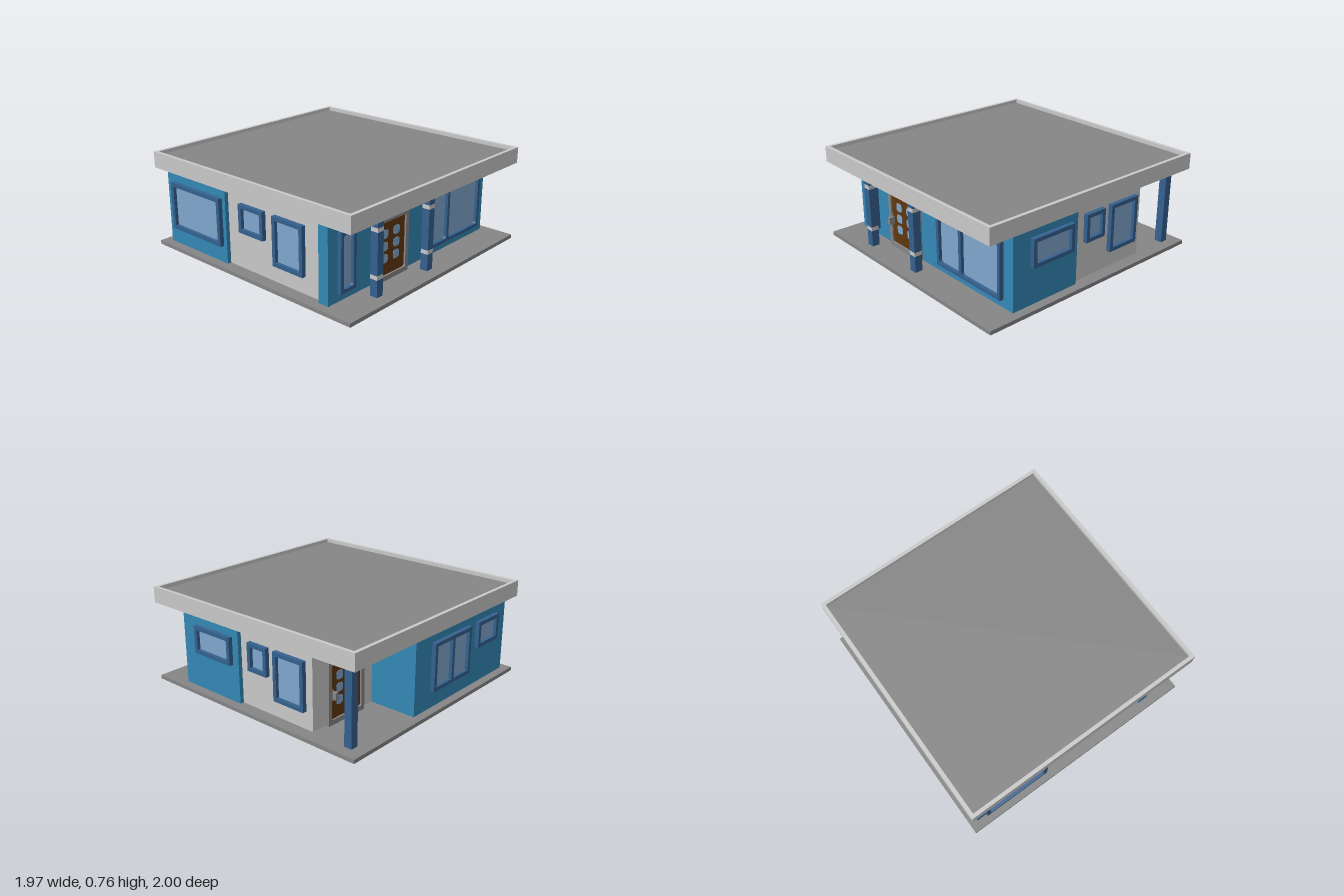
import * as THREE from 'three';

const mat = (name, color) => {
  const m = new THREE.MeshStandardMaterial({ color });
  m.name = name;
  return m;
};

// Rectangle path with optional chamfered-round corners
function rect(path, x0, y0, x1, y1, r = 0) {
  if (!r) {
    path.moveTo(x0, y0).lineTo(x1, y0).lineTo(x1, y1).lineTo(x0, y1);
  } else {
    path.moveTo(x0 + r, y0).lineTo(x1 - r, y0);
    path.quadraticCurveTo(x1, y0, x1, y0 + r).lineTo(x1, y1 - r);
    path.quadraticCurveTo(x1, y1, x1 - r, y1).lineTo(x0 + r, y1);
    path.quadraticCurveTo(x0, y1, x0, y1 - r).lineTo(x0, y0 + r);
    path.quadraticCurveTo(x0, y0, x0 + r, y0);
  }
  path.closePath();
  return path;
}

// Plate of given outline with rectangular holes [x0, y0, x1, y1]
function panel(outline, holes, depth, r = 0) {
  const shape = rect(new THREE.Shape(), ...outline);
  for (const h of holes) shape.holes.push(rect(new THREE.Path(), ...h, r));
  return new THREE.ExtrudeGeometry(shape, { depth, bevelEnabled: false, curveSegments: 3 });
}

export function createModel() {
  const house = new THREE.Group();
  house.name = 'house';
  const blue = mat('wall blue', 0x3488b6);
  const trim = mat('trim blue', 0x35618f);
  const light = mat('light grey', 0xc9c9c9);
  const grey = mat('mid grey', 0x868686);
  const glass = mat('glass blue', 0x80a6cd);
  const brown = mat('door brown', 0x5f360e);

  const add = (parent, name, geo, m) => {
    const mesh = new THREE.Mesh(geo, m);
    mesh.name = name;
    parent.add(mesh);
    return mesh;
  };
  const box = (parent, name, m, x0, x1, y0, y1, z0, z1) => {
    const b = add(parent, name, new THREE.BoxGeometry(x1 - x0, y1 - y0, z1 - z0), m);
    b.position.set((x0 + x1) / 2, (y0 + y1) / 2, (z0 + z1) / 2);
    return b;
  };

  // Ground slab and roof
  box(house, 'baseSlab', grey, -0.985, 0.985, 0, 0.03, -1, 1);
  box(house, 'roofDeck', grey, -0.96, 0.96, 0.65, 0.735, -0.975, 0.975);
  const rim = add(house, 'roofRim',
    panel([-0.985, -1, 0.985, 1], [[-0.957, -0.972, 0.957, 0.972]], 0.127), light);
  rim.rotation.x = -Math.PI / 2;
  rim.position.y = 0.638;

  // Walls: grey core with blue blocks standing slightly proud of it
  box(house, 'coreWalls', light, -0.885, 0.885, 0.03, 0.65, -0.55, 0.7);
  box(house, 'frontRightWalls', blue, -0.02, 0.917, 0.03, 0.65, 0.145, 0.745);
  box(house, 'frontLeftWalls', blue, -0.917, -0.02, 0.03, 0.65, 0.66, 0.745);
  box(house, 'backWalls', blue, -0.917, 0.256, 0.03, 0.65, -0.935, -0.267);

  // Group whose +z points out of the wall
  const mount = (name, side, dist) => {
    const g = new THREE.Group();
    g.name = name;
    const a = { front: 0, right: Math.PI / 2, back: Math.PI, left: -Math.PI / 2 }[side];
    g.rotation.y = a;
    g.position.set(Math.sin(a) * dist, 0, Math.cos(a) * dist);
    house.add(g);
    return g;
  };

  // Windows: u runs to the right as seen facing the wall
  const addWindow = (name, side, dist, u0, u1, y0, y1, { splits = [], r = 0, f = 0.03 } = {}) => {
    const g = mount(name, side, dist);
    const edges = [u0 + f, ...splits.flatMap((s) => [s - 0.014, s + 0.014]), u1 - f];
    const holes = [];
    for (let i = 0; i < edges.length; i += 2) holes.push([edges[i], y0 + f, edges[i + 1], y1 - f]);
    add(g, 'windowFrame', panel([u0, y0, u1, y1], holes, 0.034, r), trim);
    box(g, 'windowGlass', glass, u0 + 0.01, u1 - 0.01, y0 + 0.01, y1 - 0.01, 0, 0.008);
  };
  addWindow('frontNarrowWindow', 'front', 0.745, -0.825, -0.67, 0.095, 0.54, { r: 0.022, f: 0.027 });
  addWindow('frontWideWindow', 'front', 0.745, 0.127, 0.823, 0.095, 0.54, { r: 0.022, f: 0.027, splits: [0.396] });
  addWindow('rightWideWindow', 'right', 0.917, -0.59, -0.205, 0.322, 0.54);
  addWindow('rightSmallWindow', 'right', 0.885, -0.05, 0.138, 0.322, 0.54);
  addWindow('rightTallWindow', 'right', 0.885, 0.205, 0.49, 0.165, 0.54);
  addWindow('backDoubleWindow', 'back', 0.935, -0.065, 0.4, 0.165, 0.54, { splits: [0.168] });
  addWindow('backSmallWindow', 'back', 0.935, 0.5, 0.78, 0.335, 0.54);
  addWindow('leftWideWindow', 'left', 0.917, -0.86, -0.3, 0.165, 0.54);
  addWindow('leftSmallWindow', 'left', 0.885, -0.125, 0.125, 0.322, 0.54);
  addWindow('leftTallWindow', 'left', 0.885, 0.22, 0.51, 0.165, 0.54);

  // Doors: grey frame, brown leaf, six panes and a handle
  const addDoor = (name, side, dist, c) => {
    const g = mount(name, side, dist);
    add(g, 'doorFrame', panel([c - 0.19, 0.03, c + 0.19, 0.507],
      [[c - 0.157, 0.068, c + 0.157, 0.476]], 0.034, 0.015), grey);
    box(g, 'doorLeaf', brown, c - 0.17, c + 0.17, 0.05, 0.49, 0, 0.02);
    for (const u of [-0.064, 0.064]) {
      for (const y of [0.195, 0.288, 0.382]) {
        const pane = rect(new THREE.Shape(), c + u - 0.034, y - 0.034, c + u + 0.034, y + 0.034, 0.025);
        const p = add(g, 'doorPane',
          new THREE.ExtrudeGeometry(pane, { depth: 0.003, bevelEnabled: false, curveSegments: 3 }), glass);
        p.position.z = 0.02;
      }
    }
    box(g, 'handlePlate', grey, c - 0.16, c - 0.145, 0.215, 0.3, 0.015, 0.036);
    box(g, 'doorHandle', grey, c - 0.158, c - 0.132, 0.23, 0.285, 0.02, 0.068);
  };
  addDoor('frontDoor', 'front', 0.745, -0.29);
  addDoor('backDoor', 'back', 0.55, -0.57);

  // Front posts with light bands, plain post at the back porch
  const bands = [[0.03, 0.16, trim], [0.16, 0.192, light], [0.192, 0.508, trim], [0.508, 0.54, light], [0.54, 0.65, trim]];
  for (const x of [-0.573, -0.002]) {
    for (const [y0, y1, m] of bands) {
      box(house, m === trim ? 'frontPost' : 'postBand', m, x - 0.031, x + 0.031, y0, y1, 0.843, 0.905);
    }
  }
  box(house, 'backPost', trim, 0.835, 0.897, 0.03, 0.65, -0.903, -0.841);

  return house;
}
